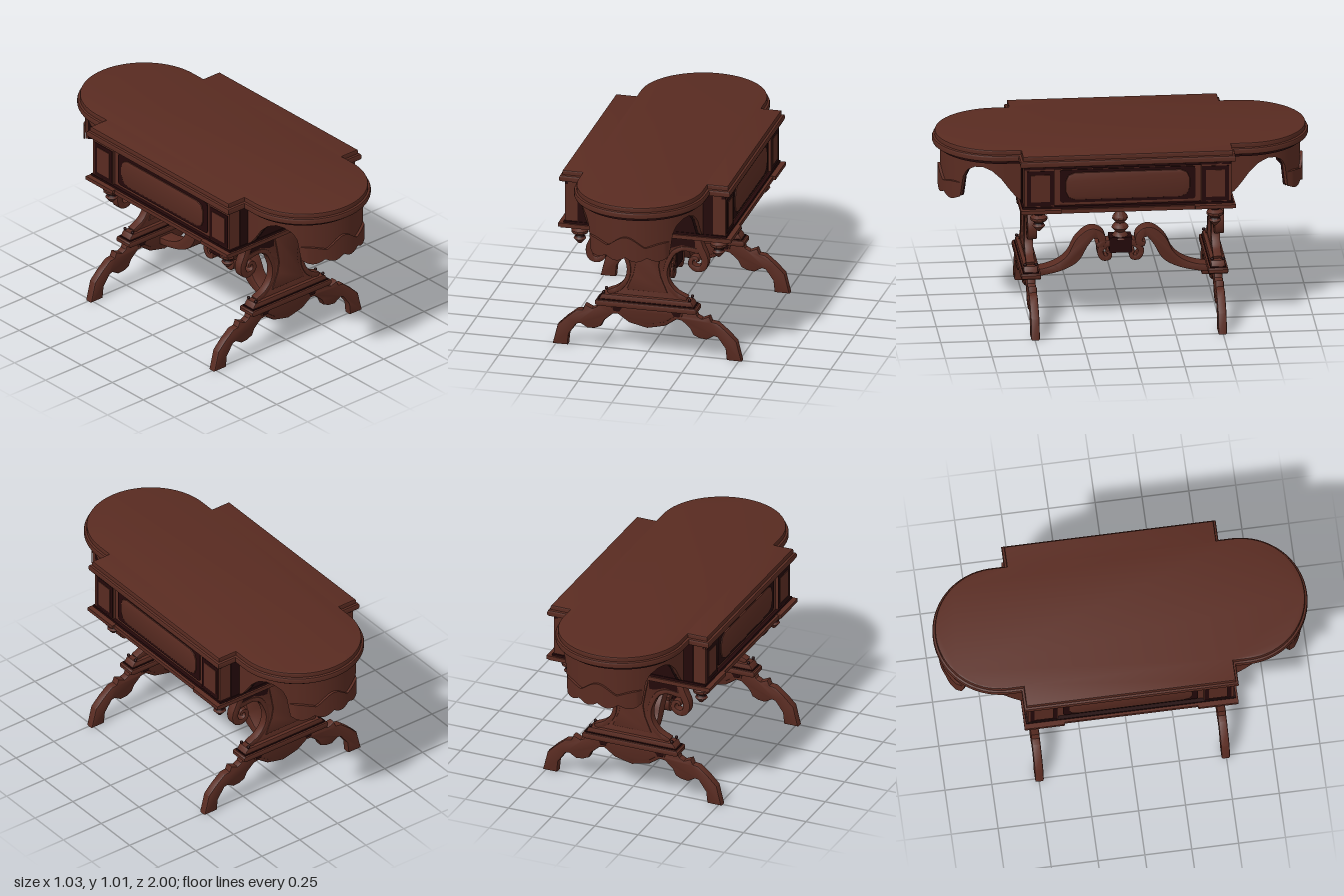
import * as THREE from 'three';
import { toCreasedNormals } from 'three/addons/utils/BufferGeometryUtils.js';

const wood = new THREE.MeshStandardMaterial({ color: 0x592b21 });
wood.name = 'brown wood';
const dark = new THREE.MeshStandardMaterial({ color: 0x230809 });
dark.name = 'dark red wood';

const V = (x, y) => new THREE.Vector2(x, y);

function add(parent, name, geo, mat = wood, x = 0, y = 0, z = 0) {
  const m = new THREE.Mesh(geo, mat);
  m.name = name;
  m.position.set(x, y, z);
  parent.add(m);
  return m;
}
const box = (p, name, w, h, d, x, y, z, mat = wood) => add(p, name, new THREE.BoxGeometry(w, h, d), mat, x, y, z);

// Extrusion centred on z, with a small bevel that stays inside the outline
function slab(points, depth, bevel = 0.006) {
  const g = new THREE.ExtrudeGeometry(new THREE.Shape(points), {
    depth: depth - 2 * bevel, bevelEnabled: bevel > 0, bevelThickness: bevel,
    bevelSize: bevel, bevelOffset: -bevel, bevelSegments: 2,
  });
  g.translate(0, 0, -depth / 2 + bevel);
  return toCreasedNormals(g, 0.6);
}

// Mirrors a half outline to a closed one
const mirrored = half => [...half, ...half.slice().reverse().filter(p => p[0] !== 0).map(p => [-p[0], p[1]])].map(p => V(...p));

// Flat band of changing width along a curve: points are [u, y, halfWidth]
function band(points, depth, steps = 40) {
  const curve = new THREE.CatmullRomCurve3(points.map(p => new THREE.Vector3(...p)), false, 'centripetal');
  const a = [], b = [];
  for (let i = 0; i <= steps; i++) {
    const t = i / steps, p = curve.getPoint(t);
    const d = curve.getPoint(Math.min(1, t + 0.004)).sub(curve.getPoint(Math.max(0, t - 0.004)));
    const n = V(-d.y, d.x).normalize().multiplyScalar(p.z);
    a.push(V(p.x + n.x, p.y + n.y));
    b.push(V(p.x - n.x, p.y - n.y));
  }
  return slab([...a, ...b.reverse()], depth, 0.003);
}

// Skin over a row of closed cross-sections
function loft(rings) {
  const n = rings[0].length, idx = [];
  for (let i = 0; i < rings.length - 1; i++) for (let k = 0; k < n; k++) {
    const a = i * n + k, b = i * n + (k + 1) % n;
    idx.push(a, b, b + n, a, b + n, a + n);
  }
  const g = new THREE.BufferGeometry();
  g.setAttribute('position', new THREE.Float32BufferAttribute(rings.flat(2), 3));
  g.setIndex(idx);
  return toCreasedNormals(g, 0.6);
}

const lathe = (pts, sides = 10) => toCreasedNormals(new THREE.LatheGeometry(pts.map(p => V(...p)), sides), 0.6);

// Table outline: a rectangle with a half-round leaf at each end
function topLayer(inset, height, bevel) {
  const w = 0.467 - inset, h = 0.572 - inset, r = 0.355 - inset, c = 0.643;
  const pts = [V(w, -h), V(w, h)];
  const arc = (start, cz) => {
    for (let i = 0; i <= 32; i++) {
      const t = start + Math.PI * i / 32;
      pts.push(V(r * Math.cos(t), cz + r * Math.sin(t)));
    }
  };
  pts.push(V(r, h)); arc(0, c); pts.push(V(-r, h));
  pts.push(V(-w, h), V(-w, -h), V(-r, -h)); arc(Math.PI, -c); pts.push(V(r, -h));
  return slab(pts, height, bevel).rotateX(-Math.PI / 2);
}

// Lower edge of the leaf apron: arch at the sides, scallops in front
const arch = [[0.54, 0.71], [0.58, 0.735], [0.62, 0.785], [0.66, 0.84], [0.71, 0.885], [0.76, 0.905], [0.8, 0.9], [0.84, 0.875], [0.86, 0.83], [0.872, 0.72]];
function apronBottom(x, z) {
  if (Math.abs(x) < 0.222) return 0.72 - 0.022 * Math.abs(Math.sin(Math.PI * x / 0.11));
  for (let i = 1; i < arch.length; i++) {
    const [z0, y0] = arch[i - 1], [z1, y1] = arch[i];
    if (z <= z1) return y0 + (y1 - y0) * (z - z0) / (z1 - z0);
  }
  return 0.72;
}

function leafApron(parent) {
  const ring = (t, r, lo, hi, th, dz = 0) => {
    const c = Math.cos(t), s = Math.sin(t), z = 0.64 + dz;
    return [[r * c, lo, z + r * s], [r * c, hi, z + r * s], [(r - th) * c, hi, z + (r - th) * s], [(r - th) * c, lo, z + (r - th) * s]];
  };
  const wall = [], lining = [], trim = [], relief = [];
  for (let i = -8; i <= 104; i++) {
    const t = Math.PI * Math.min(96, Math.max(0, i)) / 96;
    const dz = i < 0 ? i / 80 : i > 96 ? (96 - i) / 80 : 0;
    const x = 0.32 * Math.cos(t), z = 0.64 + dz + 0.32 * Math.sin(t);
    const low = apronBottom(x, z);
    wall.push(ring(t, 0.315, low, 0.955, 0.02, dz));
    lining.push(ring(t, 0.3, low - 0.001, 0.955, 0.016, dz));
    trim.push(ring(t, 0.326, 0.93, 0.955, 0.026, dz));
    if (Math.abs(x) < 0.222) {
      const e = Math.min(1, (0.225 - Math.abs(x)) / 0.03);
      const lobes = 0.765 + 0.03 * Math.abs(Math.cos(Math.PI * x / 0.2)) + 0.035 * Math.exp(-((x / 0.08) ** 2));
      relief.push(ring(t, 0.315 + 0.014 * e, low - 0.003, lobes, 0.03));
    }
  }
  add(parent, 'leafApron', loft(wall));
  add(parent, 'leafApronLining', loft(lining), dark);
  add(parent, 'leafApronMoulding', loft(trim), dark);
  add(parent, 'scallopedCarving', loft(relief));
}

function trestle(parent) {
  const t = new THREE.Group();
  t.name = 'trestle';
  t.position.z = 0.497;
  parent.add(t);
  // Waisted column with a raised panel
  const side = [[0.285, 0.695], [0.29, 0.63], [0.28, 0.592], [0.2, 0.602], [0.155, 0.575], [0.12, 0.525], [0.107, 0.47], [0.115, 0.42], [0.145, 0.37], [0.185, 0.335], [0.235, 0.31]];
  add(t, 'column', slab(mirrored(side), 0.036));
  add(t, 'columnPanel', slab(mirrored([[0.085, 0.66], [0.093, 0.65], [0.08, 0.59], [0.064, 0.5], [0.075, 0.44], [0.112, 0.35]]), 0.048, 0.005));
  for (const turn of [0, Math.PI]) {
    const s = new THREE.Group();
    s.name = 'trestleSide';
    s.rotation.y = turn;
    t.add(s);
    add(s, 'darkInset', slab([V(0.095, 0.688), V(0.1, 0.61), V(0.13, 0.61), V(0.19, 0.632), V(0.262, 0.625), V(0.262, 0.688)], 0.041, 0), dark);
    add(s, 'scroll', band([[0.272, 0.69, 0.016], [0.288, 0.63, 0.02], [0.316, 0.56, 0.019], [0.305, 0.515, 0.018], [0.268, 0.505, 0.016],
      [0.238, 0.528, 0.013], [0.245, 0.56, 0.011], [0.27, 0.565, 0.01], [0.277, 0.545, 0.008]], 0.05, 50));
    add(s, 'columnEdging', band([[0.28, 0.605, 0.014], [0.2, 0.612, 0.012], [0.15, 0.59, 0.012], [0.115, 0.53, 0.012], [0.1, 0.47, 0.011],
      [0.11, 0.41, 0.012], [0.15, 0.355, 0.014], [0.215, 0.322, 0.014]], 0.046));
    for (const z of [-0.03, 0.03]) add(s, 'bead', new THREE.SphereGeometry(0.009, 8, 6), dark, 0.235, 0.326, z);
  }
  // Moulded base bar
  add(t, 'baseBar', slab(mirrored([[0.27, 0.285], [0.278, 0.278], [0.278, 0.26], [0.265, 0.252]]), 0.105));
  box(t, 'baseFillet', 0.528, 0.007, 0.085, 0, 0.287, 0, dark);
  add(t, 'baseMoulding', slab(mirrored([[0.24, 0.318], [0.25, 0.308], [0.262, 0.282]]), 0.075));
  // Skirt and two cabriole legs in one outline
  add(t, 'legs', slab(mirrored([[0.265, 0.26], [0.275, 0.235], [0.3, 0.222], [0.34, 0.24], [0.352, 0.21], [0.385, 0.205], [0.44, 0.16], [0.49, 0.11], [0.517, 0],
    [0.435, 0], [0.428, 0.065], [0.385, 0.125], [0.365, 0.13], [0.325, 0.106], [0.285, 0.11], [0.252, 0.125], [0.235, 0.16], [0.19, 0.2], [0.16, 0.204], [0.1, 0.162], [0.05, 0.15], [0, 0.139]]), 0.046, 0.008));
  add(t, 'skirtPanel', slab(mirrored([[0.2, 0.255], [0.19, 0.22], [0.155, 0.224], [0.1, 0.185], [0.05, 0.172], [0, 0.16]]), 0.056, 0.006));
  for (const s of [-1, 1]) add(t, 'darkKnee', slab([V(s * 0.19, 0.252), V(s * 0.18, 0.222), V(s * 0.15, 0.222), V(s * 0.13, 0.252)], 0.06, 0), dark);
}

function stretcherArm(parent, turn) {
  const g = new THREE.Group();
  g.name = 'stretcherArm';
  g.rotation.y = turn;
  parent.add(g);
  add(g, 'stretcher', band([[0.485, 0.205, 0.02], [0.4, 0.215, 0.019], [0.31, 0.245, 0.025], [0.25, 0.29, 0.034], [0.205, 0.37, 0.036], [0.15, 0.418, 0.028],
    [0.105, 0.4, 0.022], [0.1, 0.36, 0.018], [0.13, 0.35, 0.012]], 0.085, 50));
  add(g, 'stretcherScroll', band([[0.02, 0.36, 0.02], [0.075, 0.355, 0.018], [0.108, 0.32, 0.016], [0.095, 0.28, 0.015], [0.062, 0.28, 0.013], [0.058, 0.305, 0.01], [0.075, 0.312, 0.008]], 0.075));
}

// Turned drop with dark neck and collar
function finial(parent, x, z) {
  add(parent, 'hangingFinial', lathe([[0, 0.565], [0.01, 0.57], [0.034, 0.597], [0.028, 0.607], [0.022, 0.615], [0.046, 0.632], [0.046, 0.645], [0.025, 0.66]]), wood, x, 0, z);
  add(parent, 'finialCollar', lathe([[0.029, 0.607], [0.024, 0.615], [0.032, 0.621]]), dark, x, 0, z);
  add(parent, 'finialNeck', lathe([[0.025, 0.66], [0.03, 0.678], [0.042, 0.684], [0.042, 0.695]]), dark, x, 0, z);
}

export function createModel() {
  const model = new THREE.Group();
  model.name = 'table';

  // Layered top
  add(model, 'topEdge', topLayer(0, 0.038, 0.012), wood, 0, 0.966);
  add(model, 'tableTop', topLayer(0.014, 0.034, 0.008), wood, 0, 0.993);

  // Box under the top
  box(model, 'carcass', 0.85, 0.25, 1.1, 0, 0.825, 0);
  box(model, 'bottomPlate', 0.92, 0.022, 1.14, 0, 0.699, 0);
  box(model, 'bottomMoulding', 0.89, 0.014, 1.12, 0, 0.716, 0, dark);

  for (const s of [-1, 1]) {
    box(model, 'endWall', 0.74, 0.225, 0.008, 0, 0.835, s * 0.552, dark);
    box(model, 'upperMoulding', 0.022, 0.02, 1.1, s * 0.428, 0.94, 0, dark);
    // Long side panel with clipped corners on a dark ground
    const panel = (w, h, c) => mirrored([[w - c, h], [w - c * 0.3, h - c * 0.3], [w, h - c], [w, c - h], [w - c * 0.3, c * 0.3 - h], [w - c, -h]]);
    add(model, 'panelGround', slab(panel(0.36, 0.092, 0.015), 0.008, 0), dark, s * 0.426, 0.83).rotation.y = Math.PI / 2;
    add(model, 'sidePanel', slab(panel(0.33, 0.076, 0.05), 0.016, 0.005), wood, s * 0.428, 0.83).rotation.y = Math.PI / 2;
    for (const e of [-1, 1]) {
      // Corner blocks and hanging finials
      box(model, 'cornerBlock', 0.03, 0.215, 0.16, s * 0.424, 0.83, e * 0.47);
      box(model, 'blockFrame', 0.006, 0.195, 0.142, s * 0.438, 0.825, e * 0.465, dark);
      box(model, 'blockPanel', 0.012, 0.15, 0.1, s * 0.438, 0.825, e * 0.465);
      box(model, 'cornerPlate', 0.06, 0.02, 0.215, s * 0.443, 0.702, e * 0.463);
      finial(model, s * 0.38, e * 0.468);
    }
  }

  // Matching ends
  for (const turn of [0, Math.PI]) {
    const end = new THREE.Group();
    end.name = 'tableEnd';
    end.rotation.y = turn;
    model.add(end);
    leafApron(end);
    trestle(end);
  }

  // Stretcher with central block and finial
  stretcherArm(model, -Math.PI / 2);
  stretcherArm(model, Math.PI / 2);
  box(model, 'stretcherBlock', 0.088, 0.085, 0.12, 0, 0.351, 0, dark);
  add(model, 'centreFinial', lathe([[0.05, 0.38], [0.04, 0.4], [0.026, 0.415], [0.046, 0.438], [0.04, 0.452], [0.022, 0.465], [0.042, 0.488], [0.04, 0.502], [0.022, 0.525], [0.016, 0.545], [0, 0.555]]));
  return model;
}
